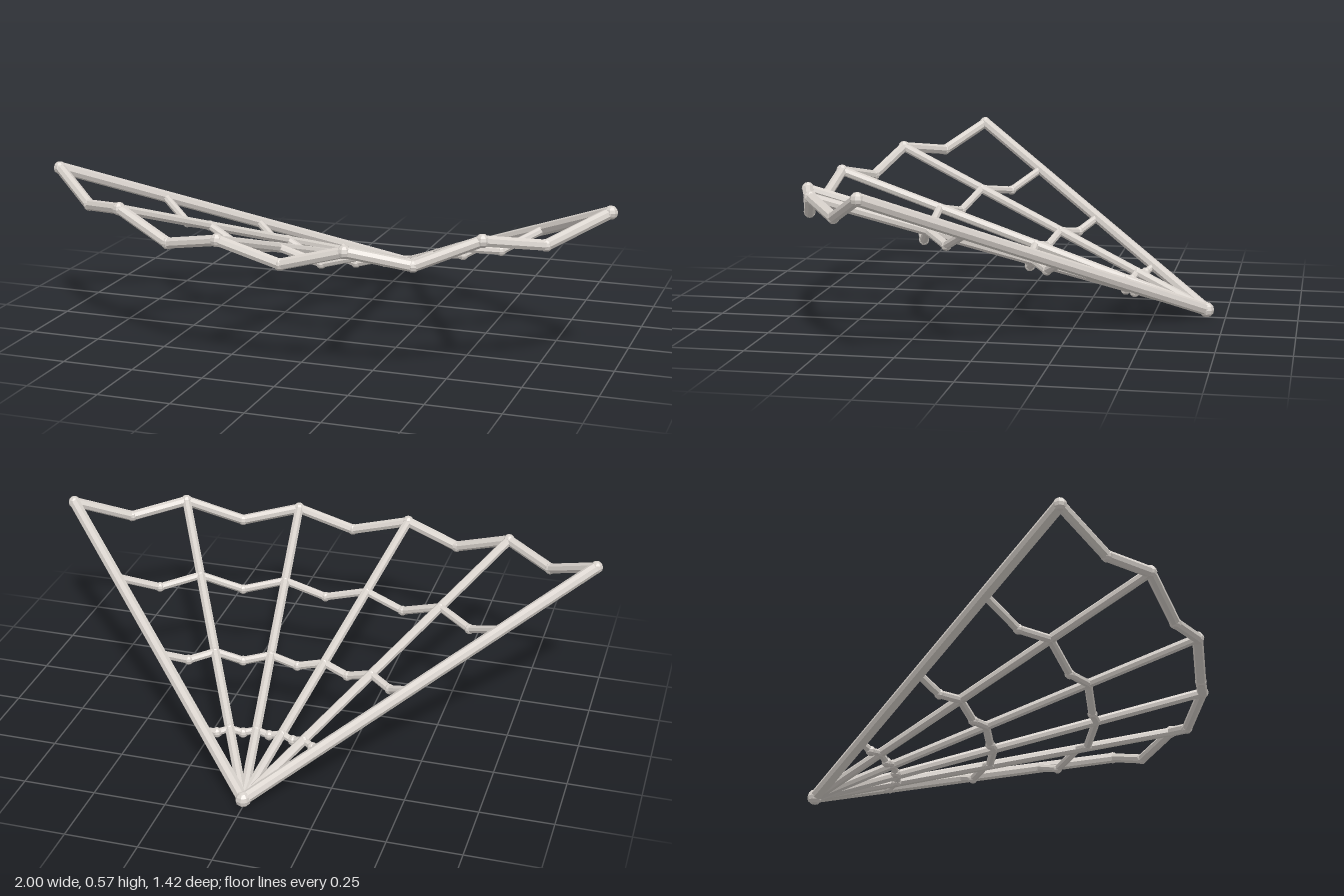
import * as THREE from 'three';

const V = (x, y, z) => new THREE.Vector3(x, y, z);

export function createModel() {
  const model = new THREE.Group();
  const metal = new THREE.MeshStandardMaterial({ color: 0xd8d2cc, flatShading: true });
  metal.name = 'pale warm grey metal';

  // Straight eight-sided bar between two points
  function bar(name, a, b, r) {
    const dir = b.clone().sub(a);
    const mesh = new THREE.Mesh(new THREE.CylinderGeometry(r, r, dir.length(), 8), metal);
    mesh.position.copy(a).lerp(b, 0.5);
    mesh.quaternion.setFromUnitVectors(V(0, 1, 0), dir.normalize());
    mesh.name = name;
    model.add(mesh);
  }

  // Rounded knob closing a joint
  function joint(name, p, r) {
    const mesh = new THREE.Mesh(new THREE.SphereGeometry(r, 8, 6), metal);
    mesh.position.copy(p);
    mesh.name = name;
    model.add(mesh);
  }

  // Rim points from the centre outwards: valleys and rib tips alternate
  const half = [
    V(0, 0.39, 0.687), V(0.215, 0.45, 0.687), V(0.42, 0.405, 0.62),
    V(0.625, 0.488, 0.553), V(0.8, 0.457, 0.427), V(0.977, 0.547, 0.299),
  ];
  const rim = [...half.slice(1).reverse().map(p => V(-p.x, p.y, p.z)), ...half];
  const apex = V(0, 0.028, -0.684);

  joint('apexJoint', apex, 0.027);

  // Six ribs, the two outer ones thicker
  for (let i = 0; i < rim.length; i += 2) {
    const outer = i === 0 || i === rim.length - 1;
    bar(outer ? 'outerRib' : 'innerRib', apex, rim[i], outer ? 0.021 : 0.017);
  }

  // Zigzag rim and three cross rings, scaled towards the apex
  const rings = [
    ['rim', 1, 0.019, 0.023, 0.021],
    ['outerRing', 0.72, 0.0145, 0.018, 0.018],
    ['middleRing', 0.455, 0.0145, 0.018, 0.018],
    ['innerRing', 0.21, 0.0125, 0.018, 0.018],
  ];
  for (const [name, t, r, tipKnob, valleyKnob] of rings) {
    const points = rim.map(p => apex.clone().lerp(p, t));
    points.forEach((p, i) => {
      joint(name + 'Joint', p, i % 2 ? valleyKnob : tipKnob);
      if (i) bar(name + 'Bar', points[i - 1], p, r);
    });
  }
  return model;
}
